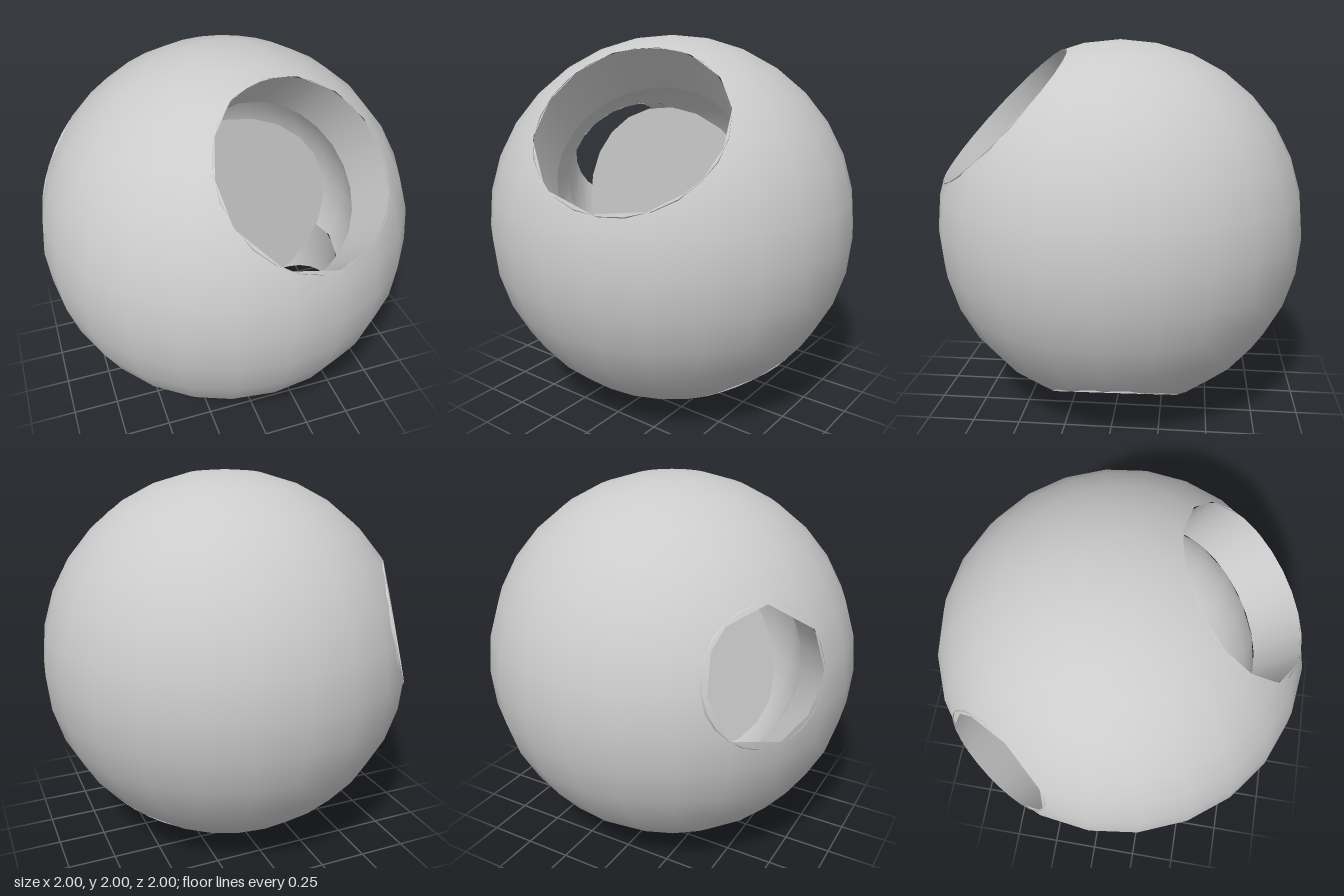
import * as THREE from 'three';

const R = 1, CAVITY = 0.745;
// Each opening: direction from the ball centre, radius on the outer skin, radius on the cavity
const openings = [
  { name: 'upperFront', dir: [0.2, 0.62, 0.6], outer: 0.48, inner: 0.475 },
  { name: 'rearRight', dir: [-0.77, 0.22, -0.5], outer: 0.335, inner: 0.47 },
  { name: 'lowerLeft', dir: [0.44, -0.83, -0.015], outer: 0.335, inner: 0.47 },
].map((o) => ({ ...o, dir: new THREE.Vector3(...o.dir).normalize() }));

const planeDistance = (radius, hole) => Math.sqrt(radius * radius - hole * hole);

// Keep the part of a polygon below the plane dir . p = d
function clip(poly, dir, d) {
  const out = [];
  poly.forEach((a, i) => {
    const b = poly[(i + 1) % poly.length];
    const da = dir.dot(a) - d, db = dir.dot(b) - d;
    if (da <= 0) out.push(a);
    if (da * db < 0) out.push(a.clone().lerp(b, da / (da - db)));
  });
  return out;
}

// Sphere skin with a cap cut off at every opening; inward = true faces the cavity
function cutSphere(radius, key, inward) {
  const src = new THREE.SphereGeometry(radius, 24, 16).toNonIndexed();
  const p = src.attributes.position;
  const pos = [], nor = [];
  for (let i = 0; i < p.count; i += 3) {
    let poly = [0, 1, 2].map((k) => new THREE.Vector3().fromBufferAttribute(p, i + k));
    for (const o of openings) poly = clip(poly, o.dir, planeDistance(radius, o[key]));
    for (let k = 1; k + 1 < poly.length; k++) {
      const tri = inward ? [poly[0], poly[k + 1], poly[k]] : [poly[0], poly[k], poly[k + 1]];
      for (const v of tri) {
        const n = v.clone().normalize().multiplyScalar(inward ? -1 : 1);
        pos.push(v.x, v.y, v.z);
        nor.push(n.x, n.y, n.z);
      }
    }
  }
  const geo = new THREE.BufferGeometry();
  geo.setAttribute('position', new THREE.Float32BufferAttribute(pos, 3));
  geo.setAttribute('normal', new THREE.Float32BufferAttribute(nor, 3));
  return geo;
}

export function createModel() {
  const group = new THREE.Group();
  const solid = new THREE.MeshStandardMaterial({ color: 0xcccccc });
  const thin = new THREE.MeshStandardMaterial({ color: 0xcccccc, side: THREE.DoubleSide });
  const add = (name, geo, mat) => {
    const mesh = new THREE.Mesh(geo, mat);
    mesh.name = name;
    group.add(mesh);
    return mesh;
  };

  // Thick hollow shell
  add('outerShell', cutSphere(R, 'outer', false), solid);
  add('cavityLining', cutSphere(CAVITY, 'inner', true), solid);

  // Walls joining the outer and inner rim of each opening
  const up = new THREE.Vector3(0, 1, 0);
  for (const o of openings) {
    const d0 = planeDistance(CAVITY, o.inner), d1 = planeDistance(R, o.outer);
    const wall = new THREE.CylinderGeometry(o.outer * 0.99, o.inner * 0.99, d1 - d0, 24, 1, true);
    wall.translate(0, (d0 + d1) / 2, 0);
    add(o.name + 'OpeningWall', wall, thin).quaternion.setFromUnitVectors(up, o.dir);
  }

  // Upright thin disc in the middle of the cavity
  add('innerDisc', new THREE.CircleGeometry(0.62, 24), thin);

  group.children.forEach((m) => (m.position.y = R));
  return group;
}
